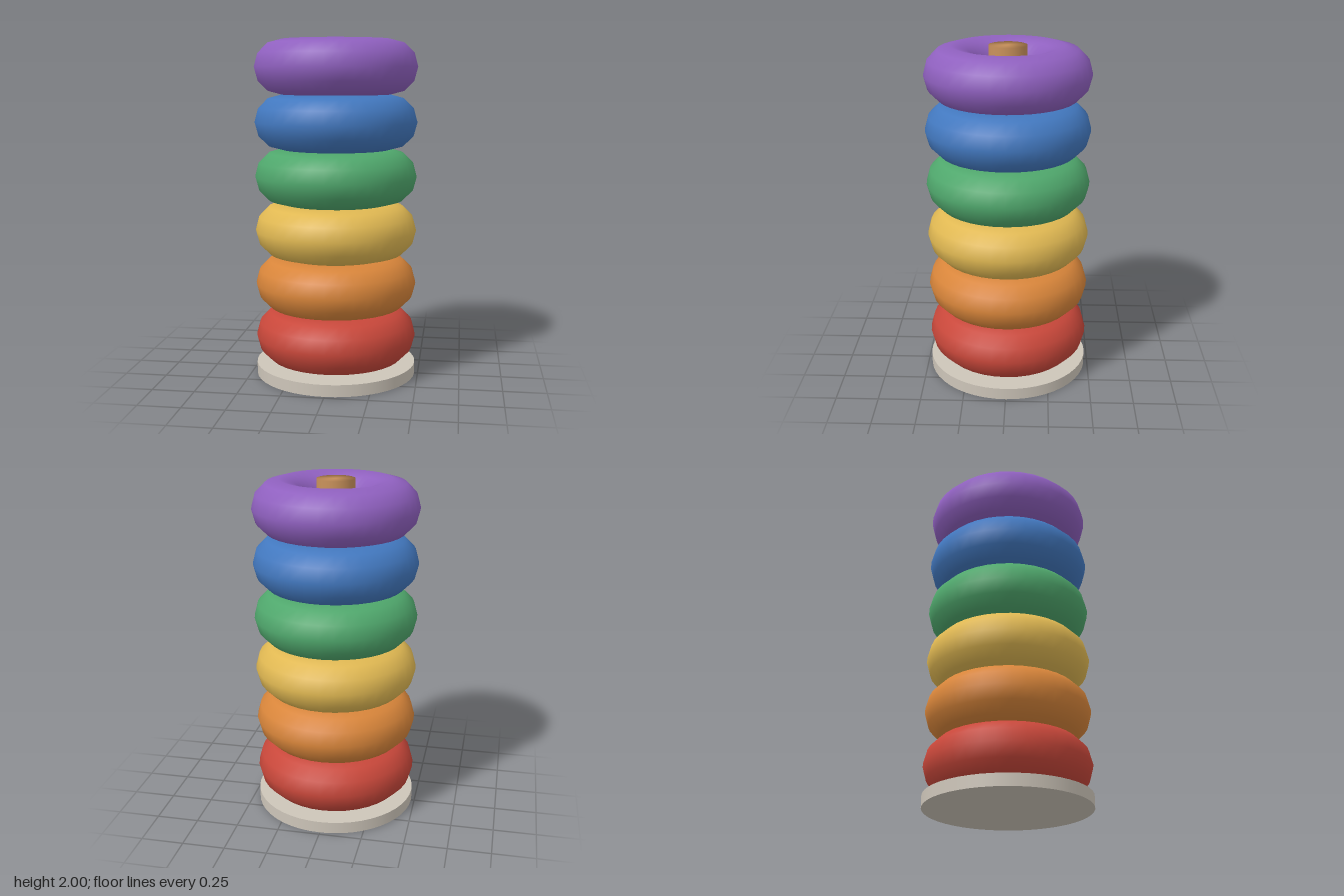
import * as THREE from 'three';

function material(name, color) {
  const m = new THREE.MeshStandardMaterial({ color });
  m.name = name;
  return m;
}

export function createModel() {
  const group = new THREE.Group();
  group.name = 'stackingRings';

  const add = (name, geometry, mat, y = 0) => {
    const mesh = new THREE.Mesh(geometry, mat);
    mesh.name = name;
    mesh.position.y = y;
    group.add(mesh);
  };

  // Flat round base
  const baseHeight = 0.07;
  add('base', new THREE.CylinderGeometry(0.48, 0.48, baseHeight, 48),
    material('warm grey', 0xcdc5b9), baseHeight / 2);

  // Centre peg, turned with a softly shaded top rim
  const pegProfile = [[0.11, 0.03], [0.11, 2], [0, 2]].map(([r, y]) => new THREE.Vector2(r, y));
  add('peg', new THREE.LatheGeometry(pegProfile, 32), material('wood', 0xc68f59));

  // Six equal rings, stacked bottom to top
  const tube = 0.16;
  const ring = new THREE.TorusGeometry(0.32, tube, 12, 36).rotateX(Math.PI / 2);
  const colours = [
    ['red', 0xc8473a], ['orange', 0xd8853a], ['yellow', 0xe0b852],
    ['green', 0x4fa76c], ['blue', 0x4278bf], ['purple', 0x8f60bf],
  ];
  colours.forEach(([name, hex], i) => {
    add(`${name}Ring`, ring, material(name, hex), 0.24 + i * tube * 2);
  });

  return group;
}
